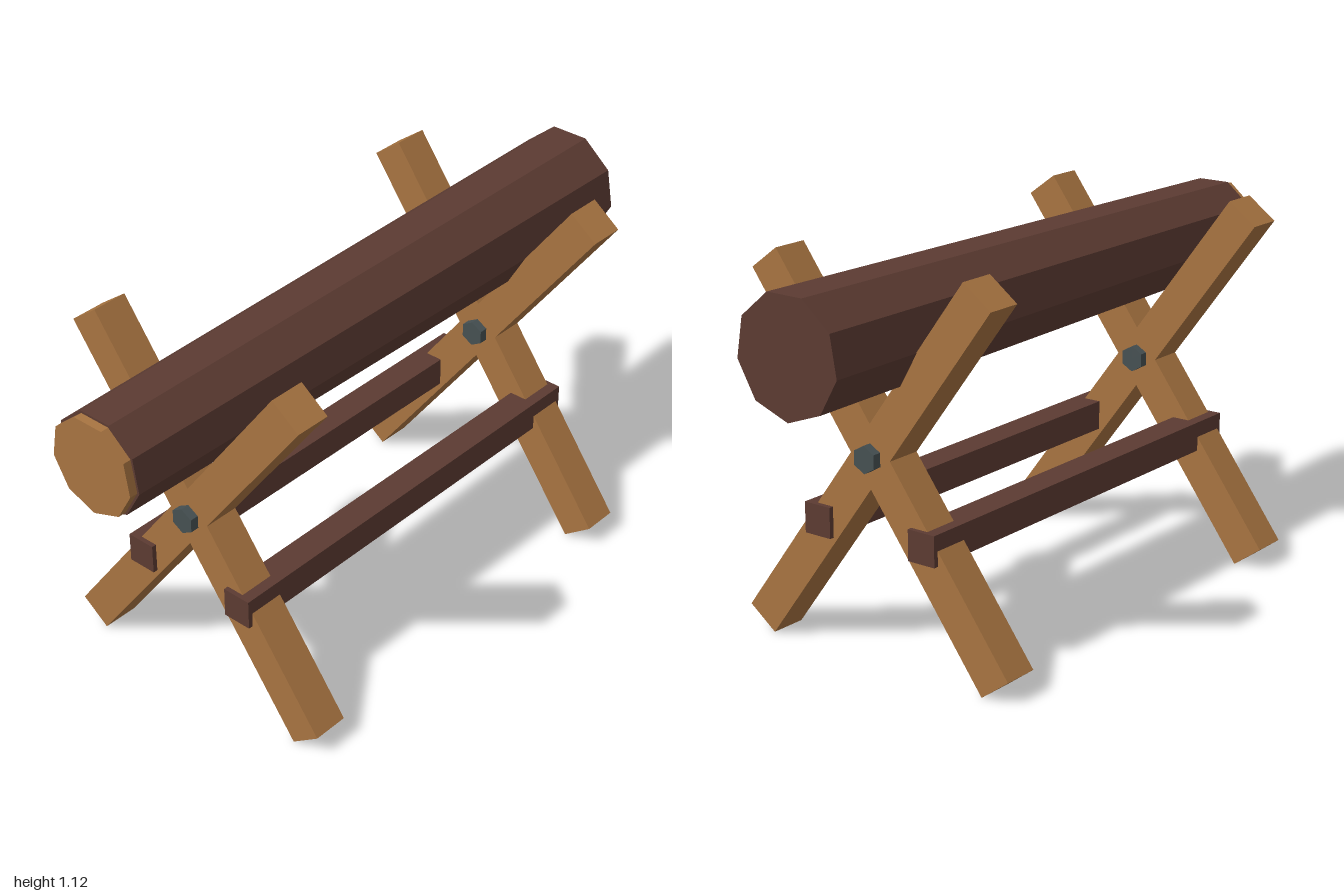
import * as THREE from 'three';

const material = (name, color) => {
  const m = new THREE.MeshStandardMaterial({ color, flatShading: true });
  m.name = name;
  return m;
};

export function createModel() {
  const wood = material('cut wood', 0xa87441);
  const bark = material('dark bark', 0x5c3b32);
  const iron = material('dark iron', 0x465052);
  const model = new THREE.Group();
  model.name = 'sawhorseWithLog';

  const add = (name, geometry, mat, x, y, z, parent = model) => {
    const mesh = new THREE.Mesh(geometry, mat);
    mesh.name = name;
    mesh.position.set(x, y, z);
    parent.add(mesh);
    return mesh;
  };

  // Cylinder lying along x with one corner pointing straight down
  const lying = (rLeft, rRight, length, sides) =>
    new THREE.CylinderGeometry(rRight, rLeft, length, sides, 1, false, Math.PI / 2)
      .rotateZ(-Math.PI / 2);

  // Tapered log with a freshly cut face on its narrow end
  add('log', lying(0.15, 0.173, 1.975, 9), bark, 0.0125, 0.943, 0);
  add('cutFace', lying(0.143, 0.143, 0.04, 9), wood, -0.98, 0.943, 0);

  // Two crossed trestles, each held by a hexagonal bolt
  const beam = new THREE.BoxGeometry(0.11, 1.316, 0.11);
  const bolt = lying(0.04, 0.04, 0.163, 6);
  for (const x of [-0.613, 0.633]) {
    const trestle = new THREE.Group();
    trestle.name = x < 0 ? 'rightTrestle' : 'leftTrestle';
    model.add(trestle);
    for (const s of [1, -1]) {
      const leg = add(s > 0 ? 'frontLeg' : 'backLeg', beam, wood, x, 0.564, s * 0.026, trestle);
      leg.rotation.x = -s * 0.638;
    }
    add('bolt', bolt, iron, x, 0.597, 0, trestle);
  }

  // Rails joining the trestles
  const rail = new THREE.BoxGeometry(1.385, 0.09, 0.09);
  for (const s of [1, -1]) add(s > 0 ? 'frontRail' : 'backRail', rail, bark, 0.01, 0.384, s * 0.184);

  return model;
}
